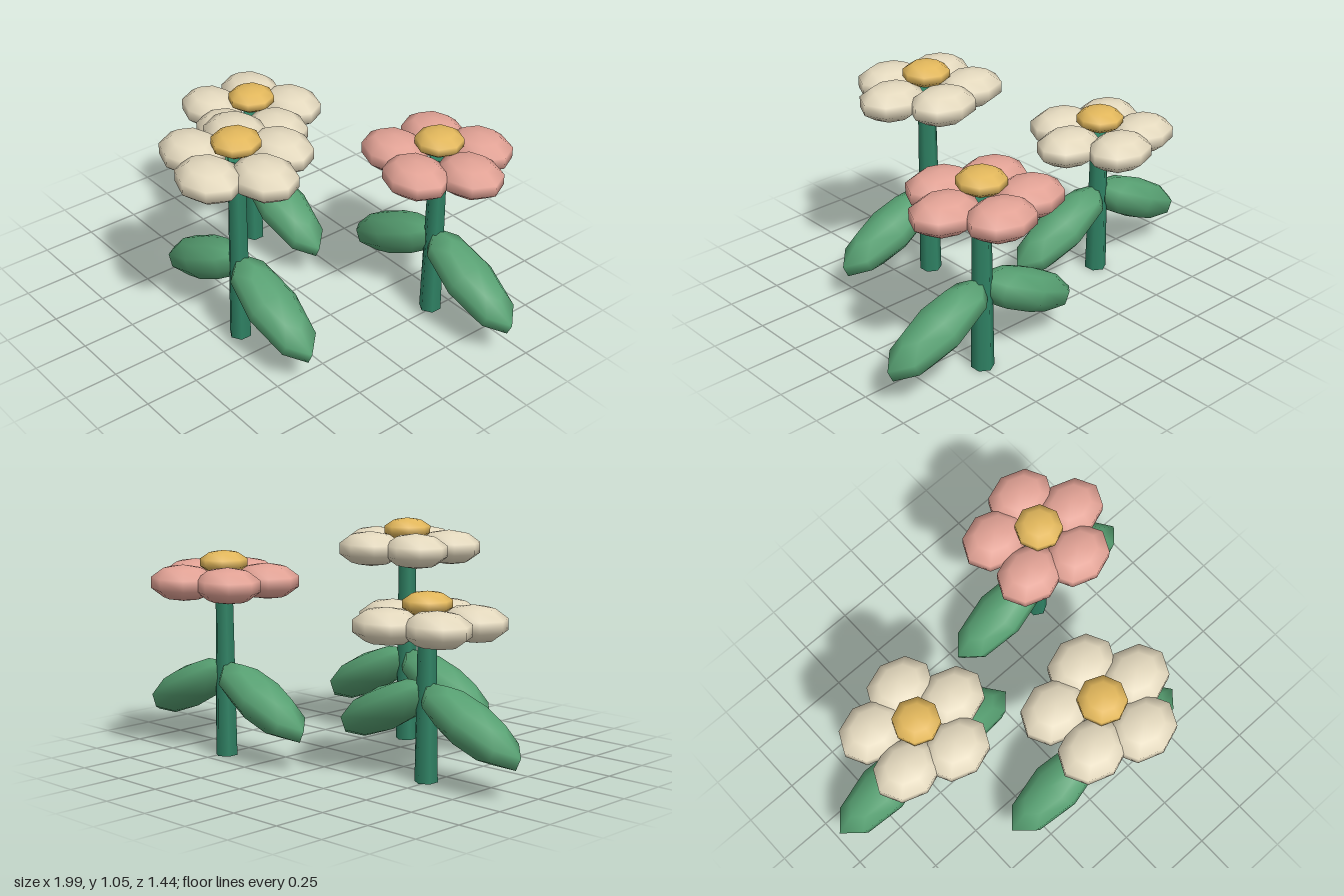
import * as THREE from 'three';

const paint = (color) => new THREE.MeshStandardMaterial({ color });
const stemMat = paint(0x2f8264);
const leafMat = paint(0x57a072);
const centreMat = paint(0xe3b85c);
const creamMat = paint(0xe5dabf);
const pinkMat = paint(0xe3a396);

// One coarse ball, stretched into petals, leaves and flower centres
const ball = new THREE.SphereGeometry(1, 8, 5);

function blob(name, material, size, position) {
  const mesh = new THREE.Mesh(ball, material);
  mesh.name = name;
  mesh.scale.set(...size);
  mesh.position.set(...position);
  return mesh;
}

function makeFlower(height, petalMat) {
  const flower = new THREE.Group();

  // Tapered six-sided stem
  const stem = new THREE.Mesh(new THREE.CylinderGeometry(0.04, 0.051, height, 6), stemMat);
  stem.name = 'stem';
  stem.position.y = height / 2;
  flower.add(stem);

  // Two drooping leaves
  for (const side of [-1, 1]) {
    const leaf = blob('leaf', leafMat, [0.3, 0.098, 0.12], [side * 0.24, 0.286, 0]);
    leaf.rotation.z = -side * 0.44;
    flower.add(leaf);
  }

  // Ring of five petals
  for (let i = 0; i < 5; i++) {
    const a = (i / 5) * Math.PI * 2;
    flower.add(blob('petal', petalMat, [0.165, 0.081, 0.138],
      [Math.cos(a) * 0.195, height, Math.sin(a) * 0.195]));
  }

  flower.add(blob('flowerCentre', centreMat, [0.112, 0.055, 0.112], [0, height + 0.08, 0]));
  return flower;
}

export function createModel() {
  const model = new THREE.Group();
  model.name = 'flowers';
  const plants = [
    ['lowCreamFlower', -0.487, -0.117, 0.69, creamMat],
    ['tallCreamFlower', 0.103, 0.402, 0.92, creamMat],
    ['pinkFlower', 0.483, -0.4, 0.805, pinkMat],
  ];
  for (const [name, x, z, height, mat] of plants) {
    const flower = makeFlower(height, mat);
    flower.name = name;
    flower.position.set(x, 0, z);
    model.add(flower);
  }
  return model;
}
